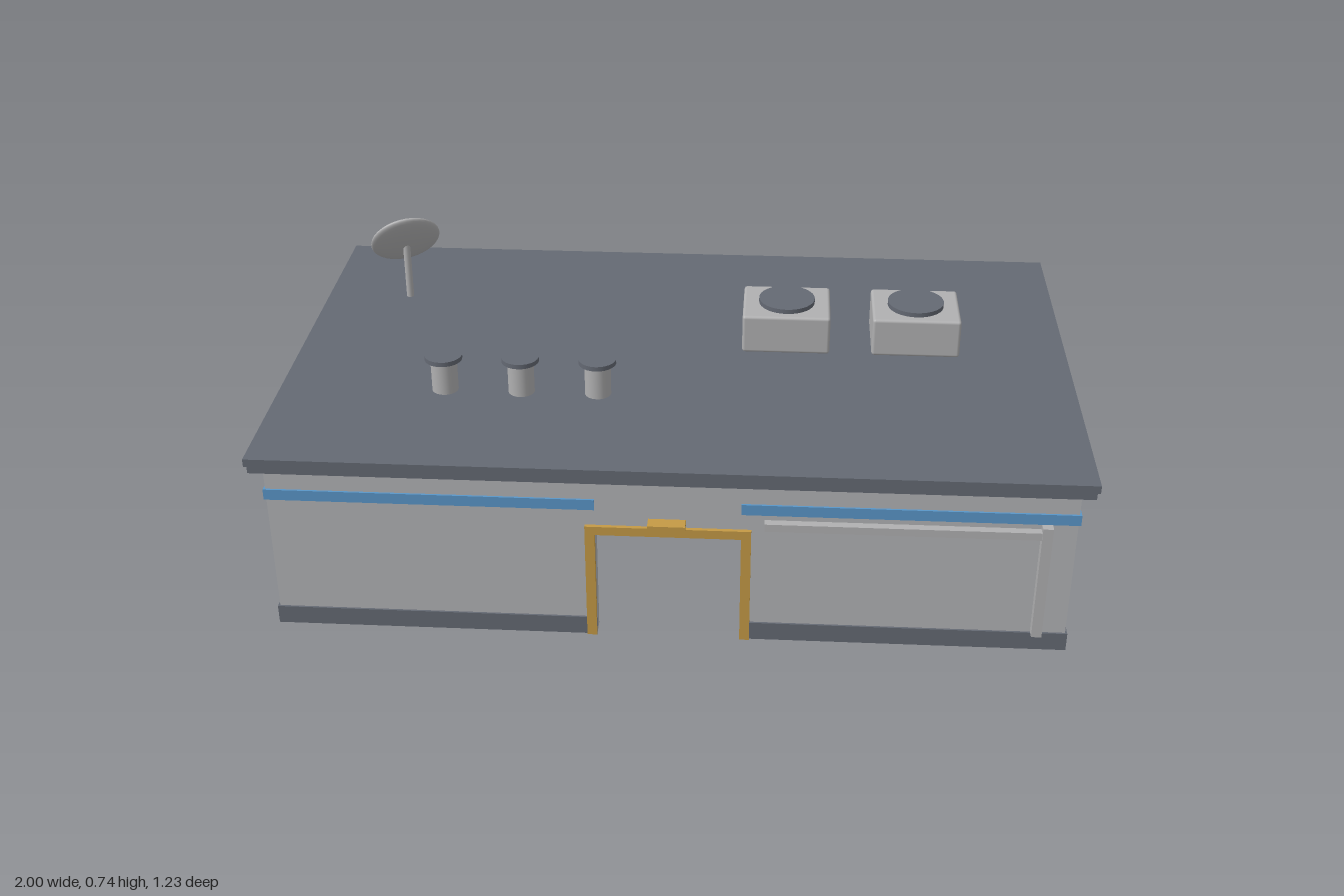
import * as THREE from 'three';
import { RoundedBoxGeometry } from 'three/addons/geometries/RoundedBoxGeometry.js';

const mat = (name, color) => {
  const m = new THREE.MeshStandardMaterial({ color });
  m.name = name;
  return m;
};

export function createModel() {
  const wall = mat('wall grey', 0xb2b3b6);
  const trim = mat('dark slate', 0x646973);
  const blue = mat('stripe blue', 0x5a96c8);
  const gold = mat('door gold', 0xc49a45);
  const metal = mat('metal grey', 0xb0b0b1);

  const model = new THREE.Group();
  model.name = 'building';
  const add = (name, geometry, material, x = 0, y = 0, z = 0, parent = model) => {
    const m = new THREE.Mesh(geometry, material);
    m.name = name;
    m.position.set(x, y, z);
    parent.add(m);
    return m;
  };
  // Box given by its minimum and maximum corners
  const box = (name, material, x0, x1, y0, y1, z0, z1) =>
    add(name, new THREE.BoxGeometry(x1 - x0, y1 - y0, z1 - z0), material,
      (x0 + x1) / 2, (y0 + y1) / 2, (z0 + z1) / 2);

  const W = 0.965, D = 0.58, H = 0.447, T = 0.04; // wall shell
  const DOOR = 0.175, DOOR_H = 0.293, P = 0.005;  // doorway and trim projection

  // Hollow shell, open underneath, with a doorway in the front wall
  const front = new THREE.Shape([
    [-W, 0], [-DOOR, 0], [-DOOR, DOOR_H], [DOOR, DOOR_H],
    [DOOR, 0], [W, 0], [W, H], [-W, H],
  ].map(([x, y]) => new THREE.Vector2(x, y)));
  add('frontWall', new THREE.ExtrudeGeometry(front, { depth: T, bevelEnabled: false }), wall, 0, 0, D - T);
  box('backWall', wall, -W, W, 0, H, -D, -D + T);
  for (const s of [-1, 1]) {
    const x = s * (W - T / 2);
    box('sideWall', wall, x - T / 2, x + T / 2, 0, H, -D + T, D - T);
  }

  // Thin bands around the outside, broken at the entrance
  const band = (name, material, y0, y1) => {
    box(name + 'Back', material, -W - P, W + P, y0, y1, -D - P, -D);
    box(name + 'FrontRight', material, -W - P, -DOOR, y0, y1, D, D + P);
    box(name + 'FrontLeft', material, DOOR, W + P, y0, y1, D, D + P);
    box(name + 'Right', material, -W - P, -W, y0, y1, -D, D);
    box(name + 'Left', material, W, W + P, y0, y1, -D, D);
  };
  band('base', trim, 0, 0.048);
  band('stripe', blue, 0.36, 0.388);

  // Stepped roof
  box('roofFascia', trim, -0.994, 0.994, 0.446, 0.467, -0.606, 0.606);
  box('roofSlab', trim, -1, 1, 0.467, 0.487, -0.612, 0.612);

  // Door frame and lamp above it
  for (const s of [-1, 1]) {
    const x = s * (DOOR + 0.012);
    box('doorJamb', gold, x - 0.012, x + 0.012, 0, DOOR_H, D - 0.002, D + 0.01);
  }
  box('doorLintel', gold, -0.199, 0.199, DOOR_H, 0.316, D - 0.002, D + 0.01);
  box('doorLamp', gold, -0.047, 0.043, 0.322, 0.338, D, 0.614);

  // Conduits on the front wall
  box('horizontalConduit', metal, 0.23, 0.88, 0.325, 0.345, D, 0.6);
  box('verticalConduit', metal, 0.88, 0.905, 0.05, 0.36, D, 0.605);

  // Rooftop air conditioners
  for (const x of [0.27, 0.607]) {
    const unit = new THREE.Group();
    unit.name = 'airConditioner';
    unit.position.set(x, 0.487, -0.097);
    model.add(unit);
    add('cabinet', new RoundedBoxGeometry(0.228, 0.104, 0.19, 2, 0.008), metal, 0, 0.052, 0, unit);
    add('fanCover', new THREE.CylinderGeometry(0.073, 0.073, 0.014, 32), trim, 0, 0.109, 0, unit);
  }

  // Roof vents
  for (const x of [-0.583, -0.39, -0.197]) {
    const vent = new THREE.Group();
    vent.name = 'roofVent';
    vent.position.set(x, 0.487, 0.24);
    model.add(vent);
    add('ventPipe', new THREE.CylinderGeometry(0.033, 0.033, 0.09, 24), metal, 0, 0.045, 0, vent);
    add('ventCap', new THREE.CylinderGeometry(0.047, 0.047, 0.012, 24), trim, 0, 0.092, 0, vent);
  }

  // Satellite dish: a flattened ball tilted on a pole
  add('dishPole', new THREE.CylinderGeometry(0.01, 0.01, 0.165, 16), metal, -0.775, 0.569, -0.288);
  const dish = add('dish', new THREE.SphereGeometry(0.095, 32, 20), metal, -0.777, 0.658, -0.29);
  dish.scale.y = 0.2;
  dish.quaternion.setFromUnitVectors(new THREE.Vector3(0, 1, 0),
    new THREE.Vector3(-0.34, 0.55, -0.76).normalize());

  return model;
}
